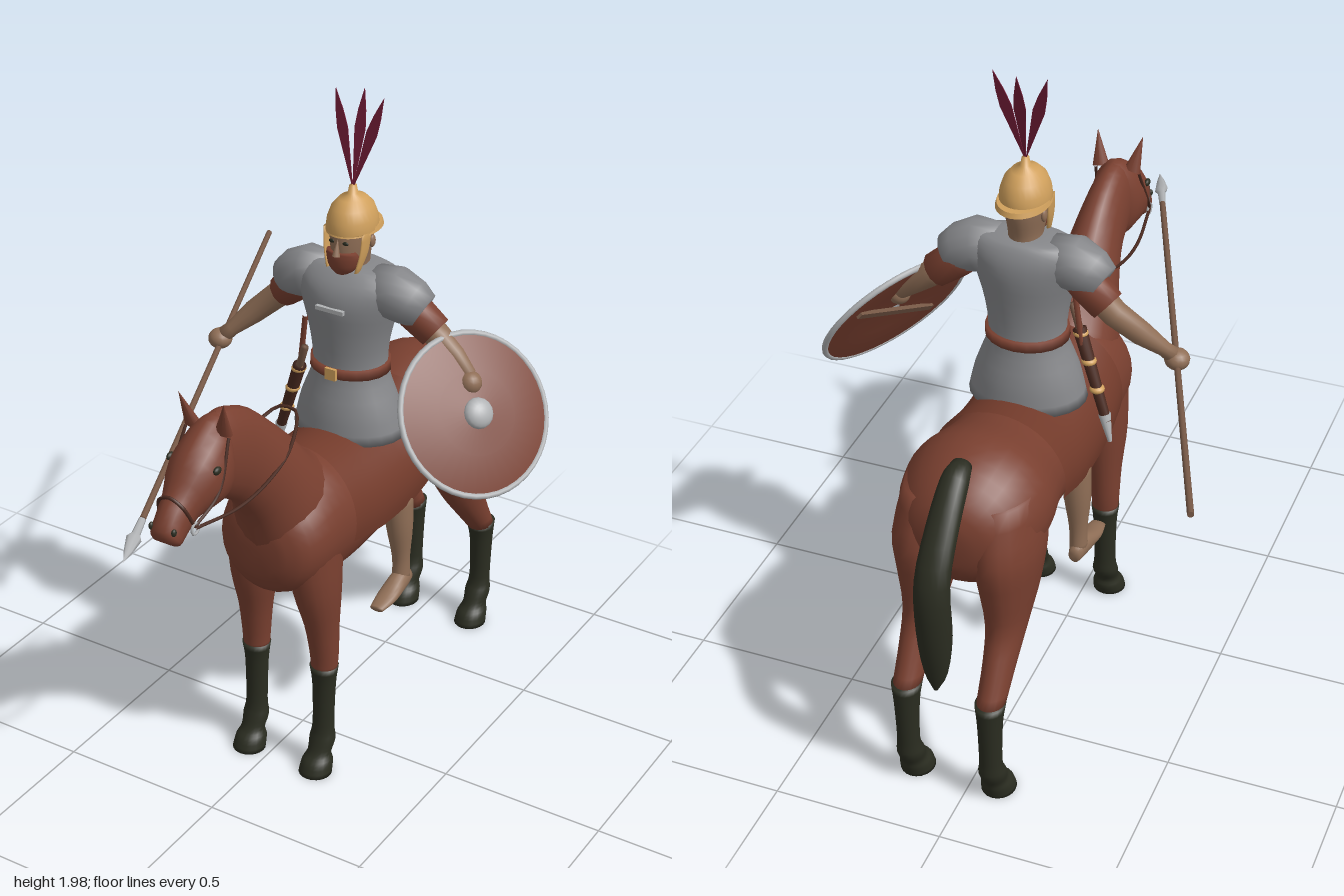
import * as THREE from 'three';

const mat = (name, color, side = THREE.FrontSide) => {
  const m = new THREE.MeshStandardMaterial({ color, side });
  m.name = name;
  return m;
};
const M = {
  coat: mat('chestnut', 0x7a4030),
  cloth: mat('saddle cloth brown', 0x733b2b, THREE.DoubleSide),
  dark: mat('dark hair', 0x2b2d21),
  mail: mat('iron mail', 0x86878a),
  steel: mat('bright steel', 0xb0b2b4),
  skin: mat('skin', 0x8f6e56),
  gold: mat('bronze', 0xd0a05c),
  wood: mat('ash wood', 0x765846),
  plume: mat('crimson', 0x701c36, THREE.DoubleSide),
  leather: mat('dark leather', 0x4a2a20),
};
const V = (x, y, z) => new THREE.Vector3(x, y, z);
const C = 0.045; // x of the horse's middle plane

function add(parent, name, geo, material, pos) {
  const m = new THREE.Mesh(geo, material);
  m.name = name;
  if (pos) m.position.set(...pos);
  parent.add(m);
  return m;
}

// Skin a list of rings; closed skins get end caps and face outwards
function skin(rings, closed = true) {
  const n = rings[0].length, pts = rings.flat(), idx = [];
  for (let i = 0; i < rings.length - 1; i++)
    for (let j = 0; j < (closed ? n : n - 1); j++) {
      const a = i * n + j, b = i * n + (j + 1) % n;
      idx.push(a, b, a + n, b, b + n, a + n);
    }
  if (closed) [0, rings.length - 1].forEach((r) => {
    const mid = rings[r].reduce((s, p) => s.add(p), V(0, 0, 0)).divideScalar(n);
    pts.push(mid);
    for (let j = 0; j < n; j++) {
      const a = r * n + j, b = r * n + (j + 1) % n;
      idx.push(pts.length - 1, ...(r ? [a, b] : [b, a]));
    }
  });
  let vol = 0;
  for (let i = 0; i < idx.length; i += 3)
    vol += pts[idx[i]].dot(V(0, 0, 0).crossVectors(pts[idx[i + 1]], pts[idx[i + 2]]));
  if (vol < 0) idx.reverse();
  const g = new THREE.BufferGeometry().setFromPoints(pts);
  g.setIndex(idx);
  g.computeVertexNormals();
  return g;
}

// Oval sections [z1, y1, z2, y2, halfWidth, x]: two opposite points and a width
function loft(sections, { n = 20, sub = 3, arc = Math.PI * 2 } = {}) {
  const closed = arc > 6;
  const curve = (f) => new THREE.CatmullRomCurve3(sections.map(f), false, 'catmullrom', 0.5);
  const A = curve((s) => V(0, s[1], s[0])), B = curve((s) => V(0, s[3], s[2]));
  const W = curve((s) => V(s[5] || 0, s[4], 0));
  const rings = [], steps = (sections.length - 1) * sub;
  for (let i = 0; i <= steps; i++) {
    const a = A.getPoint(i / steps), b = B.getPoint(i / steps), w = W.getPoint(i / steps);
    const mid = a.clone().add(b).multiplyScalar(0.5), h = a.clone().sub(mid);
    rings.push(Array.from({ length: closed ? n : n + 1 }, (_, j) => {
      const t = closed ? (j / n) * arc : (j / n - 0.5) * arc;
      return mid.clone().addScaledVector(h, Math.cos(t)).add(V(w.x + w.y * Math.sin(t), 0, 0));
    }));
  }
  return skin(rings, closed);
}

// Round limb through points [x, y, z, radius]
function limb(path, n = 12) {
  const p = path.map((q) => V(q[0], q[1], q[2]));
  return skin(p.map((c, i) => {
    const t = p[Math.min(i + 1, p.length - 1)].clone().sub(p[Math.max(i - 1, 0)]).normalize();
    const u = V(0, 0, 1).addScaledVector(t, -t.z).add(V(1e-4, 2e-4, 0)).cross(t).normalize();
    const v = t.clone().cross(u);
    return Array.from({ length: n }, (_, j) => {
      const a = (j / n) * Math.PI * 2, r = path[i][3];
      return c.clone().addScaledVector(u, r * Math.cos(a)).addScaledVector(v, r * Math.sin(a));
    });
  }));
}
const tube = (pts, r) => new THREE.TubeGeometry(new THREE.CatmullRomCurve3(pts.map((p) => V(...p))), 24, r, 6);
const ball = (r, sx = 1, sy = 1, sz = 1) => new THREE.SphereGeometry(r, 16, 12).scale(sx, sy, sz);

function buildHorse() {
  const g = new THREE.Group();
  g.name = 'horse';
  g.position.x = C;
  add(g, 'horseBody', loft([
    [-0.78, 0.9, -0.775, 0.78, 0.05], [-0.75, 0.97, -0.75, 0.72, 0.13], [-0.67, 1.035, -0.67, 0.66, 0.19],
    [-0.55, 1.06, -0.55, 0.66, 0.213], [-0.4, 1.02, -0.4, 0.67, 0.188], [-0.2, 0.99, -0.2, 0.64, 0.187],
    [0, 0.99, 0, 0.615, 0.183], [0.12, 1.01, 0.12, 0.608, 0.175], [0.22, 0.98, 0.22, 0.625, 0.168],
    [0.285, 0.93, 0.285, 0.655, 0.135], [0.315, 0.86, 0.315, 0.72, 0.07]], { n: 28 }), M.coat);
  add(g, 'neck', loft([
    [0, 0.98, 0.26, 0.7, 0.13], [0.09, 1.02, 0.31, 0.8, 0.13], [0.2, 1.135, 0.355, 0.92, 0.1],
    [0.35, 1.27, 0.42, 1.01, 0.072], [0.46, 1.325, 0.49, 1.06, 0.062], [0.53, 1.33, 0.55, 1.1, 0.058]]), M.coat);
  add(g, 'horseHead', loft([
    [0.49, 1.33, 0.49, 1.1, 0.045], [0.55, 1.325, 0.515, 1.075, 0.075], [0.64, 1.265, 0.58, 1.08, 0.08],
    [0.7, 1.19, 0.65, 1.075, 0.055], [0.745, 1.145, 0.69, 1.045, 0.046], [0.772, 1.1, 0.72, 1.035, 0.045],
    [0.77, 1.07, 0.74, 1.045, 0.03]]), M.coat);
  add(g, 'tail', loft([
    [-0.66, 1.06, -0.67, 1.02, 0.03], [-0.73, 1.05, -0.7, 0.99, 0.04], [-0.83, 0.95, -0.78, 0.91, 0.046],
    [-0.92, 0.81, -0.845, 0.8, 0.05], [-0.925, 0.64, -0.835, 0.62, 0.05],
    [-0.905, 0.5, -0.855, 0.5, 0.035], [-0.89, 0.435, -0.88, 0.435, 0.006]]), M.dark);
  // Cloth draped over the back, open underneath
  add(g, 'saddleCloth', loft([
    [0.085, 1.025, 0.085, 0.62, 0.187], [-0.06, 1.005, -0.06, 0.6, 0.198], [-0.25, 1.0, -0.25, 0.61, 0.2],
    [-0.41, 1.035, -0.41, 0.66, 0.198]], { n: 24, arc: 3.7 }), M.cloth);

  for (const s of [-1, 1]) {
    add(g, 'frontLeg', loft([
      [0.29, 0.82, 0.05, 0.82, 0.07, s * 0.095], [0.25, 0.64, 0.08, 0.64, 0.067, s * 0.105],
      [0.205, 0.5, 0.095, 0.5, 0.05, s * 0.113], [0.185, 0.4, 0.1, 0.4, 0.043, s * 0.117],
      [0.18, 0.345, 0.105, 0.345, 0.04, s * 0.117]]), M.coat);
    add(g, 'frontStocking', loft([
      [0.186, 0.355, 0.1, 0.355, 0.043, s * 0.117], [0.175, 0.29, 0.11, 0.29, 0.036, s * 0.117],
      [0.175, 0.15, 0.115, 0.15, 0.033, s * 0.117], [0.185, 0.1, 0.115, 0.1, 0.04, s * 0.117],
      [0.2, 0.06, 0.135, 0.06, 0.036, s * 0.117], [0.225, 0.035, 0.13, 0.035, 0.046, s * 0.117],
      [0.24, 0, 0.14, 0, 0.05, s * 0.117]]), M.dark);
    add(g, 'hindLeg', loft([
      [-0.48, 0.95, -0.73, 0.95, 0.08, s * 0.1], [-0.46, 0.8, -0.778, 0.8, 0.095, s * 0.115],
      [-0.5, 0.67, -0.762, 0.67, 0.08, s * 0.12], [-0.575, 0.55, -0.75, 0.55, 0.058, s * 0.123],
      [-0.66, 0.45, -0.795, 0.45, 0.046, s * 0.125], [-0.752, 0.35, -0.85, 0.35, 0.04, s * 0.125]]), M.coat);
    add(g, 'hindStocking', loft([
      [-0.752, 0.358, -0.856, 0.358, 0.043, s * 0.125], [-0.772, 0.29, -0.85, 0.29, 0.036, s * 0.125],
      [-0.78, 0.15, -0.842, 0.15, 0.033, s * 0.125], [-0.76, 0.1, -0.842, 0.1, 0.04, s * 0.125],
      [-0.74, 0.06, -0.825, 0.06, 0.036, s * 0.125], [-0.715, 0.035, -0.82, 0.035, 0.046, s * 0.125],
      [-0.7, 0, -0.81, 0, 0.05, s * 0.125]]), M.dark);
    const ear = add(g, 'horseEar', new THREE.ConeGeometry(0.026, 0.11, 10).scale(1, 1, 0.6), M.coat, [s * 0.06, 1.35, 0.555]);
    ear.rotation.set(0.3, 0, -s * 0.2);
    add(g, 'horseEye', ball(0.014, 0.6, 0.8, 1.1), M.dark, [s * 0.074, 1.225, 0.61]);
    add(g, 'nostril', ball(0.011, 0.6, 1, 0.8), M.dark, [s * 0.036, 1.1, 0.758]);
    // Bridle and reins
    const ring = add(g, 'bitRing', new THREE.TorusGeometry(0.016, 0.004, 6, 14), M.steel, [s * 0.056, 1.085, 0.69]);
    ring.rotation.y = Math.PI / 2;
    add(g, 'cheekStrap', tube([[s * 0.055, 1.09, 0.69], [s * 0.078, 1.16, 0.61], [s * 0.068, 1.29, 0.545]], 0.005), M.leather);
    add(g, 'rein', tube([[s * 0.056, 1.085, 0.69], [s * 0.08, 1.07, 0.52], [s * 0.085, 1.085, 0.38],
      [s * 0.075, 1.12, 0.26], [s * 0.03, 1.175, 0.155], [0, 1.18, 0.15]], 0.005), M.leather);
  }
  add(g, 'noseBand', tube([[-0.056, 1.09, 0.69], [-0.035, 1.16, 0.72], [0, 1.178, 0.725], [0.035, 1.16, 0.72], [0.056, 1.09, 0.69]], 0.005), M.leather);
  return g;
}

function buildRider() {
  const g = new THREE.Group();
  g.name = 'rider';
  g.position.x = C;
  add(g, 'mailShirt', loft([
    [-0.05, 0.97, -0.32, 0.97, 0.172], [-0.06, 1.06, -0.31, 1.06, 0.15], [-0.085, 1.17, -0.285, 1.17, 0.112],
    [-0.08, 1.28, -0.285, 1.28, 0.122], [-0.07, 1.38, -0.295, 1.38, 0.15], [-0.085, 1.44, -0.29, 1.44, 0.165],
    [-0.12, 1.48, -0.27, 1.48, 0.14], [-0.14, 1.492, -0.25, 1.492, 0.06]], { n: 24 }), M.mail);
  add(g, 'belt', loft([[-0.078, 1.165, -0.292, 1.165, 0.121], [-0.078, 1.195, -0.292, 1.195, 0.119]], { sub: 1 }), M.coat);
  add(g, 'chestClasp', new THREE.BoxGeometry(0.09, 0.012, 0.012), M.steel, [0, 1.385, -0.068]);
  add(g, 'buckle', new THREE.BoxGeometry(0.035, 0.035, 0.01), M.gold, [0, 1.18, -0.075]);
  // Head
  add(g, 'head', loft([
    [-0.14, 1.45, -0.25, 1.45, 0.05], [-0.13, 1.49, -0.248, 1.49, 0.047], [-0.112, 1.52, -0.252, 1.52, 0.05],
    [-0.108, 1.57, -0.262, 1.57, 0.056], [-0.112, 1.63, -0.265, 1.63, 0.058]]), M.skin);
  add(g, 'beard', loft([
    [-0.118, 1.472, -0.15, 1.472, 0.02], [-0.105, 1.495, -0.17, 1.495, 0.042],
    [-0.102, 1.525, -0.17, 1.525, 0.05], [-0.106, 1.545, -0.15, 1.545, 0.046]]), M.coat);
  const nose = add(g, 'nose', new THREE.ConeGeometry(0.012, 0.05, 8), M.skin, [0, 1.562, -0.104]);
  nose.rotation.x = -0.2;
  // Helmet
  const prof = [[0.068, 1.595], [0.071, 1.6], [0.068, 1.63], [0.057, 1.662], [0.037, 1.685], [0.014, 1.697], [0.01, 1.72], [0, 1.722]];
  add(g, 'helmet', new THREE.LatheGeometry(prof.map((p) => new THREE.Vector2(...p)), 28).scale(1, 1, 1.22), M.gold, [0, 0, -0.187]);
  add(g, 'helmetBrim', new THREE.CylinderGeometry(0.07, 0.074, 0.014, 28).scale(1, 1, 1.35), M.gold, [0, 1.6, -0.2]);
  for (const s of [-1, 1]) {
    add(g, 'cheekGuard', loft([
      [-0.135, 1.6, -0.185, 1.6, 0.006, s * 0.062], [-0.13, 1.54, -0.175, 1.54, 0.006, s * 0.058],
      [-0.125, 1.485, -0.15, 1.485, 0.006, s * 0.046]]), M.gold);
    add(g, 'eye', ball(0.008, 1.2, 0.7, 0.5), M.dark, [s * 0.022, 1.575, -0.113]);
    add(g, 'ear', ball(0.016, 0.5, 1.2, 0.8), M.skin, [s * 0.057, 1.56, -0.2]);
    add(g, 'shoulder', limb([[s * 0.08, 1.425, -0.19, 0.07], [s * 0.14, 1.425, -0.19, 0.078],
      [s * 0.19, 1.405, -0.195, 0.07], [s * 0.225, 1.385, -0.2, 0.055]], 16), M.mail);
    add(g, 'shin', loft([
      [-0.16, 0.78, -0.26, 0.78, 0.045, s * 0.15], [-0.17, 0.66, -0.255, 0.66, 0.04, s * 0.158],
      [-0.19, 0.55, -0.245, 0.55, 0.027, s * 0.163], [-0.185, 0.47, -0.25, 0.47, 0.026, s * 0.165]]), M.skin);
    add(g, 'foot', loft([
      [-0.255, 0.49, -0.255, 0.445, 0.018, s * 0.165], [-0.21, 0.51, -0.22, 0.44, 0.027, s * 0.166],
      [-0.13, 0.478, -0.13, 0.44, 0.032, s * 0.17], [-0.065, 0.458, -0.065, 0.44, 0.022, s * 0.17]]), M.skin);
  }
  // Three feathers fanned from the crown
  const leaf = new THREE.Shape([[0, 0], [0.017, 0.17], [0.012, 0.22], [0, 0.28], [-0.012, 0.22], [-0.017, 0.17]].map((p) => new THREE.Vector2(...p)));
  for (const s of [-1, 0, 1]) {
    const f = add(g, 'feather', new THREE.ExtrudeGeometry(leaf, { depth: 0.003, bevelEnabled: false }), M.plume, [0, 1.71, -0.187]);
    f.rotation.set(s ? -0.12 : -0.21, 0, -s * 0.275);
  }
  // Sheathed sword on the right hip
  add(g, 'baldric', tube([[-0.1, 1.33, -0.1], [-0.125, 1.2, -0.12], [-0.14, 1.12, -0.13]], 0.008), M.coat);
  add(g, 'scabbard', limb([[-0.125, 1.16, -0.11, 0.02], [-0.225, 0.9, -0.16, 0.014]]), M.leather);
  add(g, 'scabbardTip', limb([[-0.218, 0.92, -0.156, 0.018], [-0.24, 0.84, -0.17, 0.006]]), M.steel);
  add(g, 'swordGrip', limb([[-0.125, 1.16, -0.11, 0.011], [-0.1, 1.23, -0.098, 0.011]]), M.wood);
  for (const t of [0.05, 0.35, 0.65])
    add(g, 'scabbardStud', ball(0.022, 1, 0.6, 1), M.gold, [-0.125 - 0.1 * t, 1.16 - 0.26 * t, -0.11 - 0.05 * t]);
  return g;
}

export function createModel() {
  const root = new THREE.Group();
  root.name = 'mountedWarrior';
  root.add(buildHorse(), buildRider());

  // Arms
  add(root, 'rightSleeve', limb([[-0.09, 1.41, -0.195, 0.05], [-0.14, 1.375, -0.205, 0.055], [-0.2, 1.325, -0.215, 0.05]]), M.coat);
  add(root, 'rightForearm', limb([[-0.17, 1.35, -0.21, 0.04], [-0.22, 1.305, -0.215, 0.038], [-0.29, 1.24, -0.19, 0.034],
    [-0.345, 1.185, -0.16, 0.022], [-0.365, 1.165, -0.15, 0.024]]), M.skin);
  add(root, 'rightHand', ball(0.036, 1, 0.85, 1), M.skin, [-0.378, 1.15, -0.145]);
  add(root, 'leftSleeve', limb([[0.19, 1.41, -0.2, 0.05], [0.24, 1.375, -0.205, 0.055], [0.305, 1.325, -0.21, 0.05]]), M.coat);
  add(root, 'leftForearm', limb([[0.27, 1.35, -0.21, 0.04], [0.32, 1.31, -0.21, 0.038], [0.37, 1.27, -0.21, 0.032], [0.42, 1.225, -0.2, 0.024]]), M.skin);
  add(root, 'leftHand', ball(0.034), M.skin, [0.43, 1.21, -0.19]);

  // Spear, pointing forward
  const butt = V(-0.635, 1.17, -0.81), tip = V(0.032, 1.078, 0.915);
  const spear = new THREE.Group();
  spear.name = 'spear';
  spear.position.copy(butt);
  spear.quaternion.setFromUnitVectors(V(0, 1, 0), tip.clone().sub(butt).normalize());
  const len = butt.distanceTo(tip), shaft = len - 0.2;
  add(spear, 'spearShaft', new THREE.CylinderGeometry(0.009, 0.009, shaft, 10), M.wood, [0, shaft / 2, 0]);
  const head = [[0.01, 0], [0.012, 0.07], [0.021, 0.09], [0.012, 0.15], [0, 0.2]];
  add(spear, 'spearHead', new THREE.LatheGeometry(head.map((p) => new THREE.Vector2(...p)), 8).scale(1, 1, 0.6), M.steel, [0, shaft, 0]);
  root.add(spear);

  // Round shield on the left arm
  const shield = new THREE.Group();
  shield.name = 'shield';
  shield.position.set(0.466, 1.135, -0.16);
  shield.quaternion.setFromUnitVectors(V(0, 1, 0), V(0.74, 0.53, 0.41).normalize());
  const dish = [[0, -0.006], [0.12, -0.008], [0.228, -0.014], [0.23, -0.004], [0.12, 0.012], [0, 0.02]];
  add(shield, 'shieldBoard', new THREE.LatheGeometry(dish.map((p) => new THREE.Vector2(...p)), 32), M.coat);
  add(shield, 'shieldRim', new THREE.TorusGeometry(0.23, 0.009, 8, 40).rotateX(Math.PI / 2), M.steel, [0, -0.008, 0]);
  add(shield, 'shieldBoss', ball(0.045, 1, 0.6, 1), M.steel, [0, 0.018, 0]);
  add(shield, 'shieldGrip', new THREE.BoxGeometry(0.02, 0.012, 0.36), M.wood, [0, -0.014, 0]);
  root.add(shield);
  return root;
}
